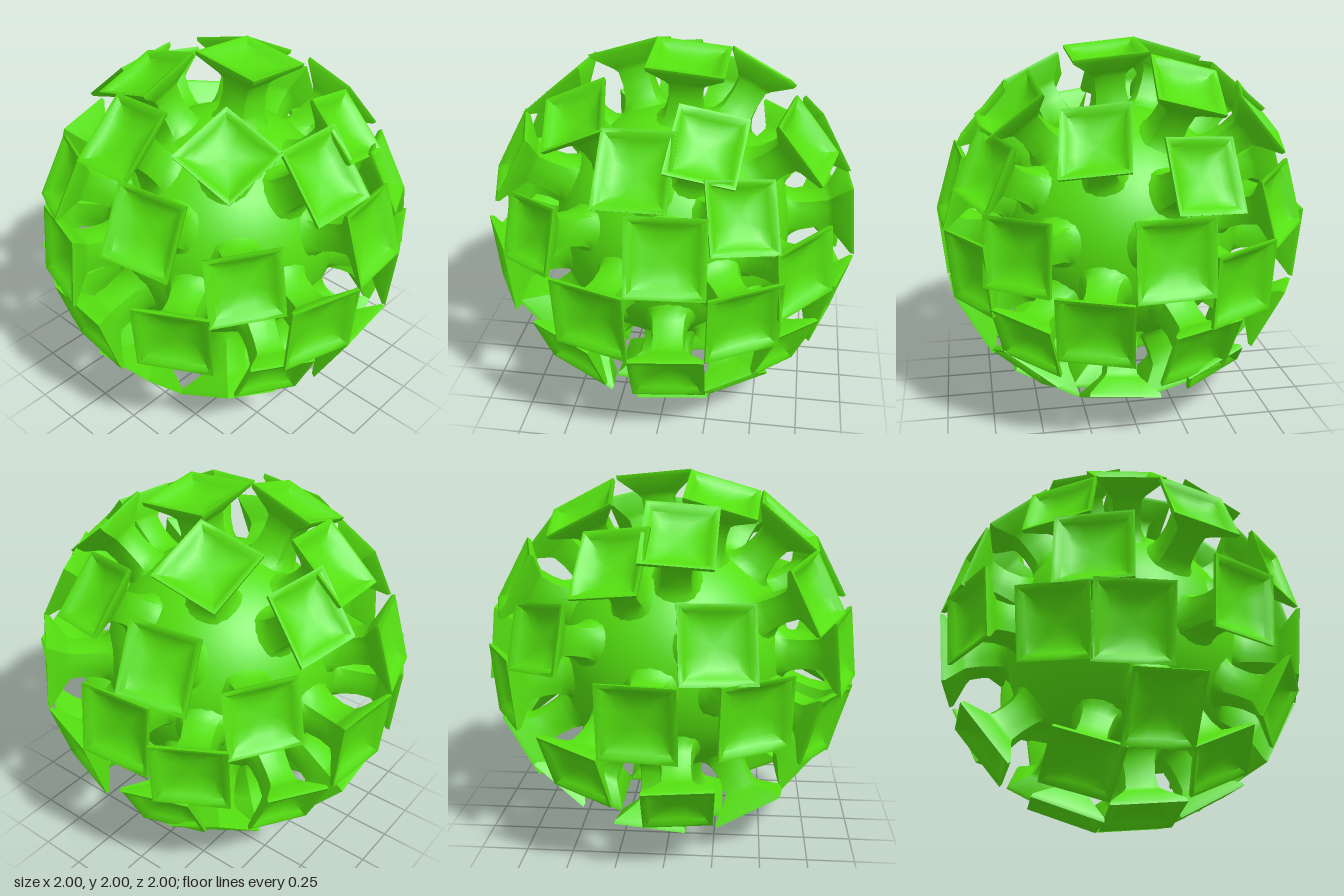
import * as THREE from 'three';
import { toCreasedNormals } from 'three/addons/utils/BufferGeometryUtils.js';

const material = new THREE.MeshStandardMaterial({ color: 0x55e010 });
const V = (x, y, z) => new THREE.Vector3(x, y, z);
const STEP = Math.PI / 32; // half a cell of the 8 x 8 grid on each cube side
const CELL = 0.196; // half width of a plate at the middle of a side

// Each side of the rounded cube: normal, two grid axes, and the cells that carry a plate
const sides = [
  { name: 'front', n: V(0, 0, 1), u: V(1, 0, 0), v: V(0, 1, 0),
    cells: [[1, 3], [-3, -1], [5, -1], [1, -5], [-1, 7], [-7, 3], [5, 5], [-5, -5]] },
  { name: 'back', n: V(0, 0, -1), u: V(1, 0, 0), v: V(0, 1, 0),
    cells: [[3, 7], [1, -1], [5, -5], [-1, -7], [-3, 3], [-5, -1], [7, 3]] },
  { name: 'left', n: V(1, 0, 0), u: V(0, 0, 1), v: V(0, 1, 0),
    cells: [[-1, 1], [3, -3], [-5, -1], [-3, 5], [3, 7], [7, 1], [-3, -5], [7, -5]] },
  { name: 'right', n: V(-1, 0, 0), u: V(0, 0, 1), v: V(0, 1, 0),
    cells: [[5, -1], [3, 5], [-5, 5], [-3, 1], [-5, -3], [-1, -3], [1, -7]] },
  { name: 'top', n: V(0, 1, 0), u: V(1, 0, 0), v: V(0, 0, 1),
    cells: [[1, 1], [-3, -3], [5, -3], [-7, -1], [-1, -7], [-5, 5], [3, 7]] },
  { name: 'bottom', n: V(0, -1, 0), u: V(1, 0, 0), v: V(0, 0, 1),
    cells: [[7, -5], [5, 1], [1, -3], [-5, -3], [-1, 1], [1, 5], [-5, 5], [5, 7]] },
];

// Stalk and plate profile: distance from centre, half width (1 = plate edge), roundness
const profile = [
  [0.61, 0.75, 1], [0.645, 0.58, 0.7], [0.69, 0.48, 0.45], [0.77, 0.43, 0.3], [0.845, 0.45, 0.2],
  [0.87, 0.54, 0.1], [0.95, 0.98, 0], [0.971, 1, 0], [0.97, 0.9, 0], [0.945, 0.79, 0],
  [0.922, 0.58, 0.05], [0.912, 0.3, 0.15], [0.91, 0.02, 0.3],
];
const RING = 16;

// Point on the unit sphere for a grid position on one side
function direction(side, a, b) {
  const s = Math.tan(a * STEP), t = Math.tan(b * STEP);
  return side.n.clone()
    .addScaledVector(side.u, s * (1 + 0.05 * s * s + 0.17 * t * t))
    .addScaledVector(side.v, t * (1 + 0.05 * t * t + 0.17 * s * s))
    .normalize();
}

// Half-width vector across a cell, evened out towards a common size
function halfWidth(from, to, size) {
  const d = to.sub(from);
  return d.setLength(THREE.MathUtils.lerp(d.length(), size, 0.65));
}

// Unit ring that blends from a square to a circle
function ringPoint(i, roundness) {
  const angle = (i / RING) * Math.PI * 2 + Math.PI / 4;
  const c = Math.cos(angle), s = Math.sin(angle);
  const k = THREE.MathUtils.lerp(1 / Math.max(Math.abs(c), Math.abs(s)), 1.1, roundness);
  return [c * k, s * k];
}

function stalkGeometry(side, [a, b]) {
  const centre = direction(side, a, b);
  // Plates get smaller towards the cube corners
  const size = CELL * (1 - 0.47 * Math.abs(Math.tan(a * STEP) * Math.tan(b * STEP)));
  const tu = halfWidth(direction(side, a - 1, b), direction(side, a + 1, b), size);
  const tv = halfWidth(direction(side, a, b - 1), direction(side, a, b + 1), size);
  if (tu.clone().cross(tv).dot(centre) < 0) tu.negate();

  const positions = [], index = [];
  profile.forEach(([r, w, roundness], j) => {
    for (let i = 0; i < RING; i++) {
      const [x, y] = ringPoint(i, roundness);
      const p = centre.clone().multiplyScalar(r).addScaledVector(tu, x * w).addScaledVector(tv, y * w);
      positions.push(p.x, p.y, p.z);
      if (j === 0) continue;
      const next = (i + 1) % RING;
      const p0 = (j - 1) * RING + i, p1 = (j - 1) * RING + next;
      const q0 = j * RING + i, q1 = j * RING + next;
      index.push(p0, p1, q1, p0, q1, q0);
    }
  });
  // Close the middle of the dish
  const last = (profile.length - 1) * RING;
  for (let i = 1; i < RING - 1; i++) index.push(last, last + i, last + i + 1);

  const geometry = new THREE.BufferGeometry();
  geometry.setAttribute('position', new THREE.Float32BufferAttribute(positions, 3));
  geometry.setIndex(index);
  return toCreasedNormals(geometry, 0.9);
}

export function createModel() {
  const model = new THREE.Group();
  model.name = 'studdedBall';

  // Smooth ball at the centre
  const core = new THREE.Mesh(new THREE.SphereGeometry(0.643, 48, 32), material);
  core.name = 'core';
  core.position.y = 1;
  model.add(core);

  // Flared stalks ending in dished square plates
  for (const side of sides) {
    const group = new THREE.Group();
    group.name = side.name + 'Plates';
    group.position.y = 1;
    side.cells.forEach((cell) => {
      const mesh = new THREE.Mesh(stalkGeometry(side, cell), material);
      mesh.name = 'stalkedPlate';
      group.add(mesh);
    });
    model.add(group);
  }
  return model;
}
